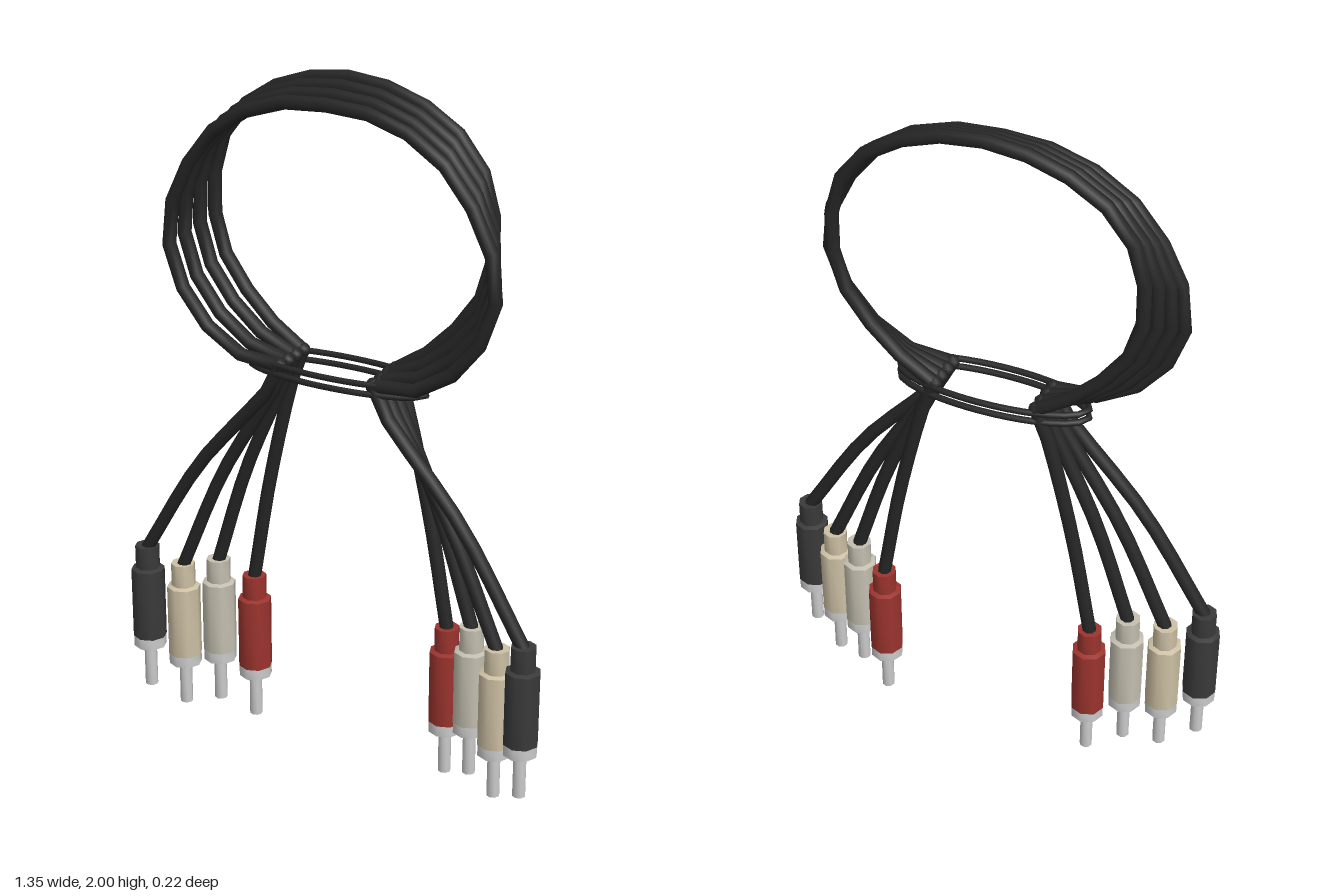
import * as THREE from 'three';
import { toCreasedNormals } from 'three/addons/utils/BufferGeometryUtils.js';

const paint = (color) => new THREE.MeshStandardMaterial({ color });
const rubber = paint(0x262626);
const metal = paint(0xcccccc);
const CABLE_R = 0.02;

function part(name, geometry, material) {
  const mesh = new THREE.Mesh(geometry, material);
  mesh.name = name;
  return mesh;
}

// Eight-sided turned piece with crisp rims
function turned(profile) {
  const points = profile.map(([r, y]) => new THREE.Vector2(r, y));
  return toCreasedNormals(new THREE.LatheGeometry(points, 8), 1);
}

// Connector: pin tip at y = 0, cable entry at y = 0.46
function createPlug(color) {
  const plug = new THREE.Group();
  plug.name = 'plug';
  plug.add(
    part('sleeve', turned([[0, 0.165], [0.05, 0.165], [0.05, 0.385], [0.036, 0.39], [0.036, 0.46], [0, 0.46]]), paint(color)),
    part('collar', turned([[0, 0.155], [0.036, 0.155], [0.036, 0.132], [0.049, 0.132], [0.049, 0.165]]), metal),
    part('pin', turned([[0, 0], [0.019, 0], [0.019, 0.16]]), metal),
  );
  return plug;
}

function tube(points, z, segments) {
  const curve = new THREE.CatmullRomCurve3(points.map(([x, y]) => new THREE.Vector3(x, y, z)));
  return new THREE.TubeGeometry(curve, segments, CABLE_R, 8);
}

// Right half of the coil, from the tie up to the crown: front and back strands
const FRONT = [[0.15, 1.185], [0.28, 1.195], [0.4, 1.27], [0.48, 1.38], [0.515, 1.53], [0.465, 1.67], [0.385, 1.79], [0.27, 1.875], [0.14, 1.92], [0, 1.93]];
const BACK = [[0.15, 1.195], [0.25, 1.26], [0.35, 1.36], [0.42, 1.47], [0.44, 1.6], [0.42, 1.74], [0.36, 1.84], [0.27, 1.91], [0.14, 1.962], [0, 1.98]];

function coilPoints(t) {
  const half = FRONT.map(([x, y], i) => [
    THREE.MathUtils.lerp(x, BACK[i][0], t),
    THREE.MathUtils.lerp(y, BACK[i][1], t),
  ]);
  const mirrored = half.slice(0, -1).reverse().map(([x, y]) => [-x, y]);
  return [...half, ...mirrored];
}

export function createModel() {
  const model = new THREE.Group();
  model.name = 'cableSet';

  // Four cables, listed front to back
  const cables = [
    { color: 0x3a3a3a, x: 0.625, base: 0.072 },
    { color: 0xcdc0a4, x: 0.525, base: 0.022 },
    { color: 0xc4bfb0, x: 0.425, base: 0.045 },
    { color: 0x9c342e, x: 0.325, base: 0 },
  ];
  cables.forEach(({ color, x, base }, i) => {
    const z = 0.06 - i * 0.04;
    const cable = new THREE.Group();
    cable.name = 'cable';
    const coil = coilPoints(i / 3);
    const [tieX, tieY] = coil[0];
    cable.add(part('coil', tube(coil, z, 20), rubber));

    for (const side of [1, -1]) {
      // Leg runs from the plug up to the fold at the tie
      const top = base + 0.45;
      const leg = [
        [x, top],
        [x * 0.56 + tieX * 0.44 + 0.012, top + (tieY - top) * 0.47],
        [tieX + 0.025, tieY - 0.06],
        [tieX, tieY],
      ].map(([px, py]) => [side * px, py]);
      cable.add(part('leg', tube(leg, z, 8), rubber));

      const fold = part('fold', new THREE.SphereGeometry(CABLE_R * 1.1, 8, 6), rubber);
      fold.position.set(side * tieX, tieY, z);

      const plug = createPlug(color);
      plug.position.set(side * x, base, z);
      cable.add(fold, plug);
    }
    model.add(cable);
  });

  // Two oval wire ties around the bundle
  const oval = new THREE.CatmullRomCurve3(
    Array.from({ length: 16 }, (_, i) => {
      const a = (i / 16) * Math.PI * 2;
      return new THREE.Vector3(0.28 * Math.cos(a), 0, 0.087 * Math.sin(a));
    }),
    true,
  );
  const tieGeometry = new THREE.TubeGeometry(oval, 32, 0.009, 8, true);
  for (const y of [1.163, 1.19]) {
    const tie = part('tie', tieGeometry, rubber);
    tie.position.y = y;
    model.add(tie);
  }
  return model;
}
